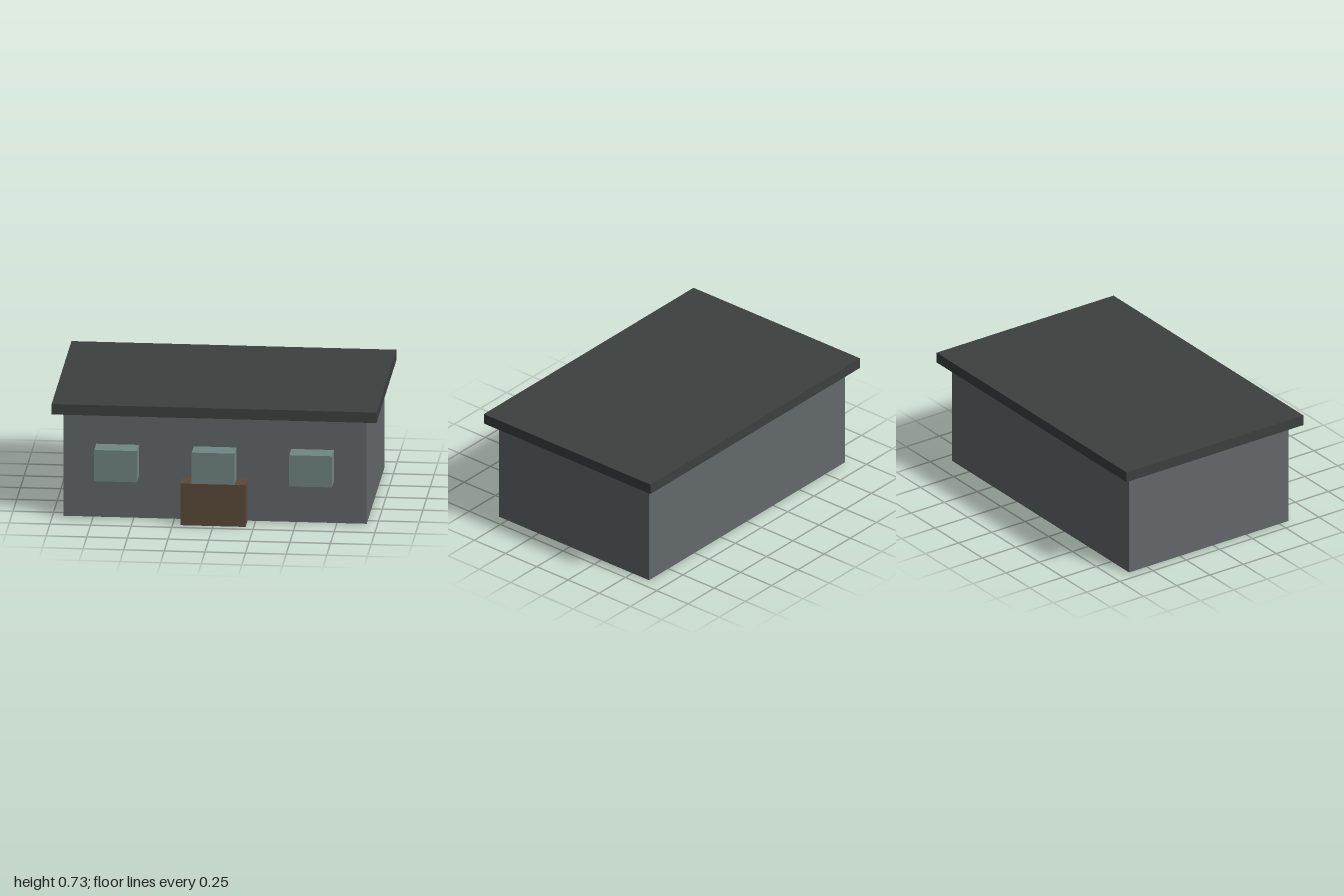
import * as THREE from 'three';

const material = (name, color) => {
  const m = new THREE.MeshStandardMaterial({ color });
  m.name = name;
  return m;
};

export function createModel() {
  const model = new THREE.Group();
  model.name = 'house';
  const wallGrey = material('wall grey', 0x63686b);
  const roofGrey = material('dark roof grey', 0x3b4140);
  const doorBrown = material('door brown', 0x5c4a3a);
  const windowTeal = material('window teal', 0x728686);

  // Box given by its width, height and depth, its centre x, base y and front z
  const addBox = (name, mat, [w, h, d], x, base, front) => {
    const mesh = new THREE.Mesh(new THREE.BoxGeometry(w, h, d), mat);
    mesh.name = name;
    mesh.position.set(x, base + h / 2, front - d / 2);
    model.add(mesh);
  };

  // Body and overhanging flat roof
  addBox('walls', wallGrey, [1.867, 0.667, 1.2], 0, 0, 0.567);
  addBox('roof', roofGrey, [2, 0.067, 1.333], 0, 0.667, 0.633);

  // Door block and the three windows projecting from the front wall
  addBox('door', doorBrown, [0.4, 0.267, 0.133], 0, 0, 0.7);
  const windows = { rightWindow: -0.6, middleWindow: 0, leftWindow: 0.6 };
  for (const [name, x] of Object.entries(windows)) {
    addBox(name, windowTeal, [0.263, 0.2, 0.133], x, 0.267, 0.7);
  }

  return model;
}
